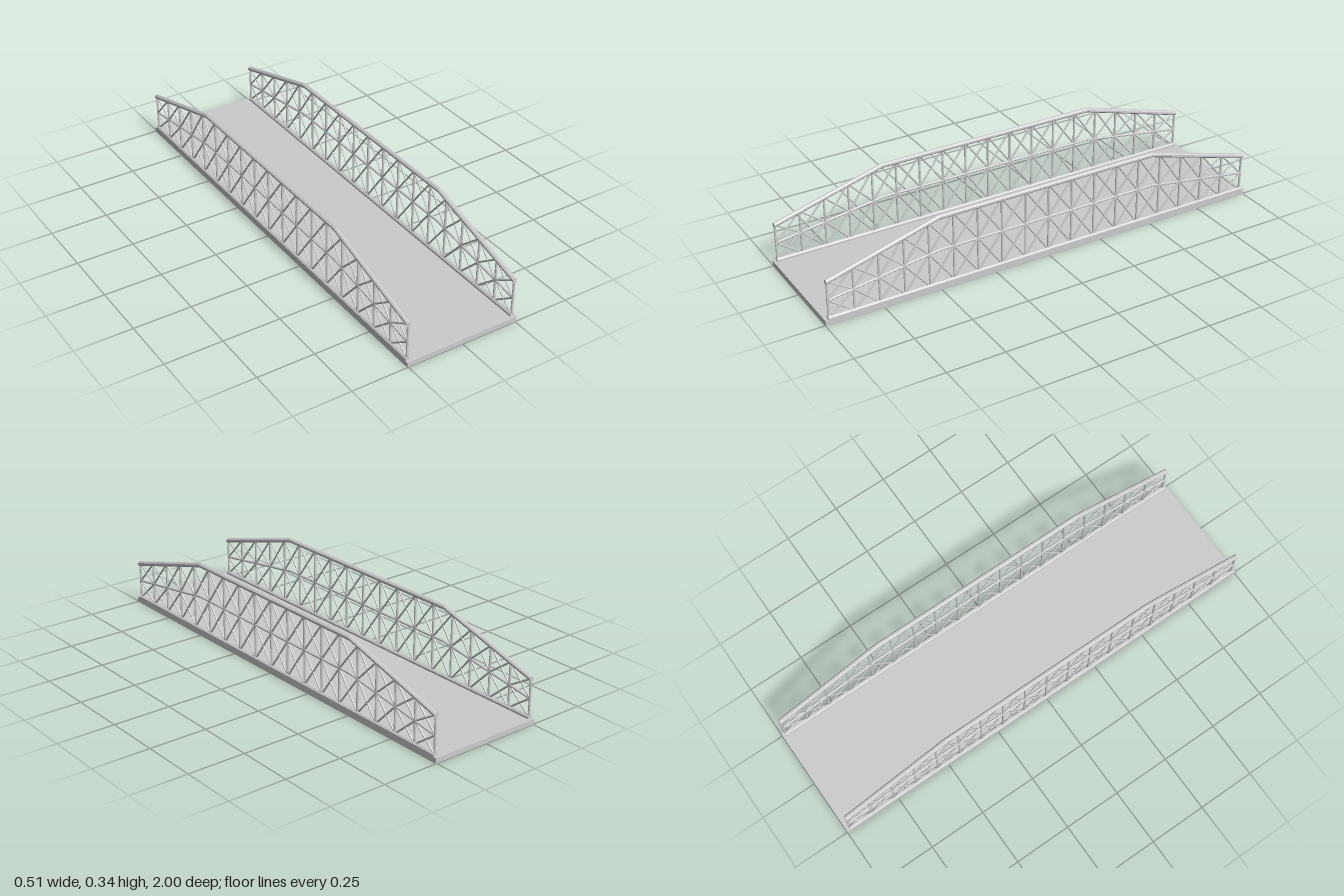
import * as THREE from 'three';

const END = 0.982;      // z of the last post
const KNEE = 0.5;       // z where the chords start to slope down
const PANELS = 18;
const SIDE_X = 0.245;
const BOTTOM = 0.026;
const SIDES = 8;

const mat = new THREE.MeshStandardMaterial({ color: 0xcccccc, flatShading: true });

// Height of a chord at z: level in the middle, sloping to the ends
const heightAt = (mid, end) => (z) => {
  const t = Math.max(0, (Math.abs(z) - KNEE) / (END - KNEE));
  return mid + (end - mid) * t;
};
const topY = heightAt(0.325, 0.189);
const midY = heightAt(0.178, 0.106);
const bottomY = () => BOTTOM;

function add(parent, name, geometry) {
  const mesh = new THREE.Mesh(geometry, mat);
  mesh.name = name;
  parent.add(mesh);
  return mesh;
}

// Octagonal bar running along z, bent at both knees
function chord(parent, name, yAt, flat) {
  const len = 2 * END + 0.008;
  const g = new THREE.CylinderGeometry(flat, flat, len, SIDES, 3);
  g.scale(1 / Math.cos(Math.PI / SIDES), 1, 1 / Math.cos(Math.PI / SIDES));
  g.rotateY(Math.PI / SIDES).rotateX(Math.PI / 2);
  const p = g.attributes.position;
  for (let i = 0; i < p.count; i++) {
    const z = p.getZ(i);
    const ringZ = Math.abs(z) < len / 3 ? Math.sign(z) * KNEE : z;
    p.setZ(i, ringZ);
    p.setY(i, p.getY(i) + yAt(ringZ));
  }
  g.computeVertexNormals();
  return add(parent, name, g);
}

// Straight round bar between two points in the truss plane
function bar(parent, name, y0, z0, y1, z1, r) {
  const a = new THREE.Vector3(0, y0, z0);
  const b = new THREE.Vector3(0, y1, z1);
  const dir = b.clone().sub(a);
  const mesh = add(parent, name, new THREE.CylinderGeometry(r, r, dir.length(), SIDES));
  mesh.position.copy(a).add(b).multiplyScalar(0.5);
  mesh.quaternion.setFromUnitVectors(new THREE.Vector3(0, 1, 0), dir.normalize());
  return mesh;
}

function truss(name) {
  const g = new THREE.Group();
  g.name = name;
  chord(g, 'topChord', topY, 0.01);
  chord(g, 'middleChord', midY, 0.005);
  chord(g, 'bottomChord', bottomY, 0.01);

  const zs = Array.from({ length: PANELS + 1 }, (_, i) => -END + (2 * END * i) / PANELS);
  zs.forEach((z, i) => {
    bar(g, 'post', BOTTOM, z, topY(z), z, 0.005);
    if (i === PANELS) return;
    // Crossed braces in the lower and upper row of each panel
    const n = zs[i + 1];
    for (const [lo, hi] of [[bottomY, midY], [midY, topY]]) {
      bar(g, 'brace', lo(z), z, hi(n), n, 0.004);
      bar(g, 'brace', hi(z), z, lo(n), n, 0.004);
    }
  });
  return g;
}

export function createModel() {
  const model = new THREE.Group();
  model.name = 'trussBridge';

  // Deck slab
  add(model, 'deck', new THREE.BoxGeometry(0.51, 0.022, 2)).position.y = 0.011;

  // Side trusses
  for (const [name, s] of [['leftTruss', 1], ['rightTruss', -1]]) {
    const t = truss(name);
    t.position.x = s * SIDE_X;
    model.add(t);
  }
  return model;
}
